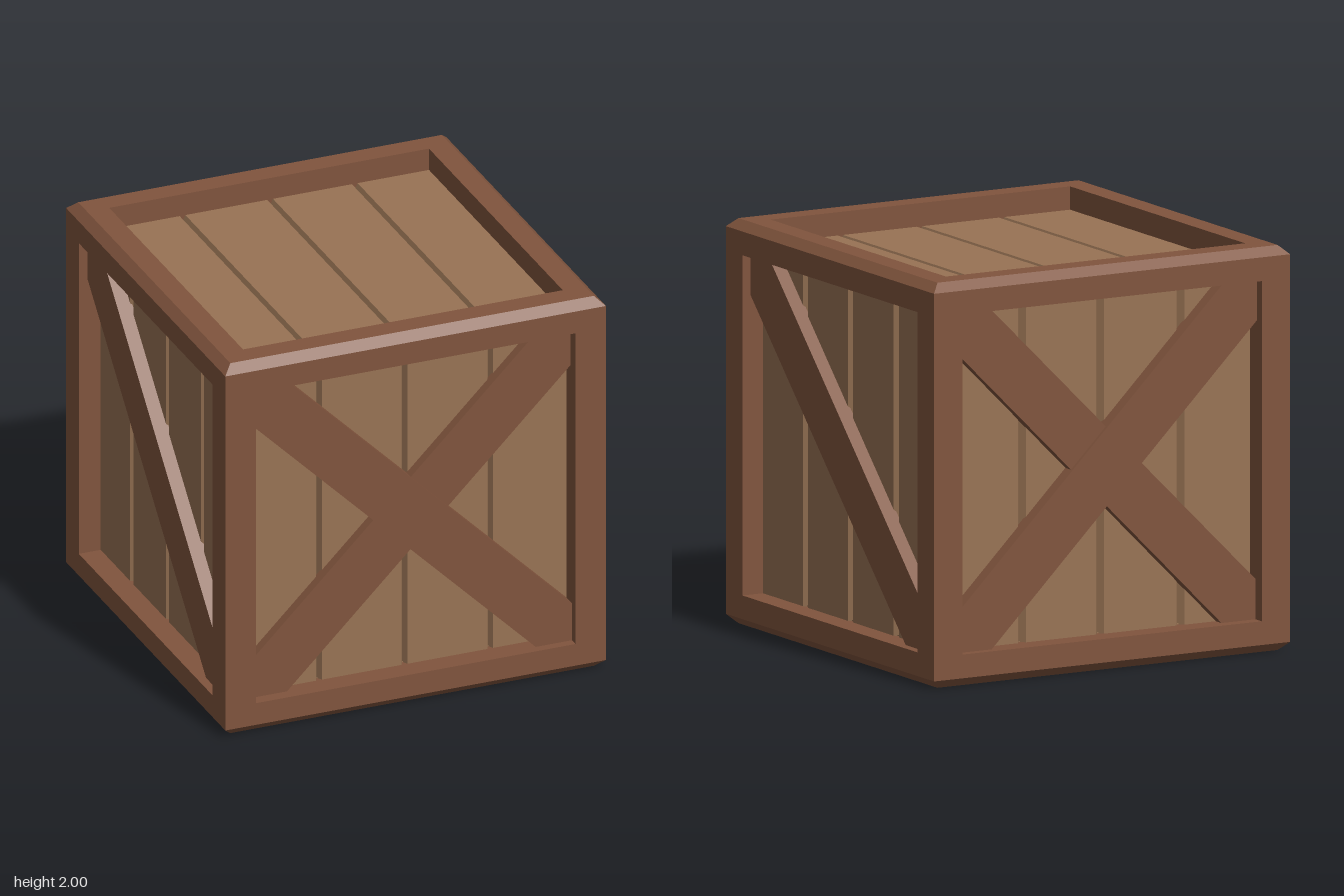
import * as THREE from 'three';

const OPEN = 0.84;    // half size of each framed opening
const PANEL = 0.885;  // distance of the plank surface from the crate centre

const frameMat = new THREE.MeshStandardMaterial({ color: 0x80543d, flatShading: true });
const plankMat = new THREE.MeshStandardMaterial({ color: 0x987354, flatShading: true });

function add(parent, name, geometry, material) {
  const mesh = new THREE.Mesh(geometry, material);
  mesh.name = name;
  parent.add(mesh);
  return mesh;
}

// One plank with bevelled long edges, so neighbours meet in a V groove
function plankGeometry(u0, u1, groove) {
  const b = groove / 2, low = PANEL - 0.03, length = 1.72;
  const section = new THREE.Shape([
    [u0, PANEL - 0.05], [u1, PANEL - 0.05], [u1, low],
    [u1 - b, PANEL], [u0 + b, PANEL], [u0, low],
  ].map(([x, y]) => new THREE.Vector2(x, y)));
  const g = new THREE.ExtrudeGeometry(section, { depth: length, bevelEnabled: false });
  return g.translate(0, 0, -length / 2).rotateX(Math.PI / 2);
}

// Diagonal board trimmed to the opening; slope -1 falls to the right
function braceGeometry(slope, front) {
  const half = [[-OPEN, 0.64], [-OPEN, OPEN], [-0.65, OPEN]];
  const corners = [...half, ...half.map(([x, y]) => [-x, -y])];
  const shape = new THREE.Shape(corners.map(([x, y]) => new THREE.Vector2(-slope * x, y)));
  const g = new THREE.ExtrudeGeometry(shape, { depth: front - PANEL + 0.01, bevelEnabled: false });
  return g.translate(0, 0, PANEL - 0.01);
}

// One face of the crate, built facing +z around the crate centre
function makeFace(name, seams, groove, braces) {
  const face = new THREE.Group();
  face.name = name;
  const edges = [-0.87, ...seams, 0.87];
  for (let i = 0; i < edges.length - 1; i++)
    add(face, 'plank', plankGeometry(edges[i], edges[i + 1], groove), plankMat);
  for (const [slope, front] of braces)
    add(face, 'diagonalBrace', braceGeometry(slope, front), frameMat);
  return face;
}

export function createModel() {
  const model = new THREE.Group();
  model.name = 'woodenCrate';
  const crate = new THREE.Group();
  crate.name = 'crate';
  crate.position.y = 1;
  model.add(crate);

  // Square top and bottom frames with a chamfered outer rim
  const profile = [
    [OPEN, OPEN], [1, OPEN], [1, 0.957], [0.955, 1], [OPEN, 1], [OPEN, OPEN],
  ].map(([r, y]) => new THREE.Vector2(r * Math.SQRT2, y));
  const ring = new THREE.LatheGeometry(profile, 4).rotateY(Math.PI / 4);
  add(crate, 'topFrame', ring, frameMat);
  add(crate, 'bottomFrame', ring, frameMat).rotation.x = Math.PI;

  // Corner posts
  const post = new THREE.BoxGeometry(1 - OPEN, 2 * OPEN, 1 - OPEN);
  const c = (1 + OPEN) / 2;
  for (const x of [-c, c])
    for (const z of [-c, c])
      add(crate, 'cornerPost', post, frameMat).position.set(x, 0, z);

  // Planked faces: crossed braces front and back, a single brace on the sides
  const over = 0.955, under = 0.938;
  const front = makeFace('frontFace', [-0.46, -0.01, 0.44], 0.03, [[-1, over], [1, under]]);
  const back = makeFace('backFace', [-0.44, 0, 0.45], 0.045, [[1, over], [-1, under]]);
  back.rotation.y = Math.PI;
  const left = makeFace('leftFace', [-0.43, 0, 0.44], 0.05, [[-1, over]]);
  left.rotation.y = Math.PI / 2;
  left.scale.x = 1;
  const right = makeFace('rightFace', [-0.45, 0, 0.44], 0.04, [[-1, over]]);
  right.rotation.y = -Math.PI / 2;
  const top = makeFace('topFace', [-0.455, 0.005, 0.45], 0.03, []);
  top.rotation.x = -Math.PI / 2;
  const bottom = makeFace('bottomFace', [-0.45, 0, 0.45], 0.03, []);
  bottom.rotation.x = Math.PI / 2;
  crate.add(front, back, left, right, top, bottom);

  return model;
}
